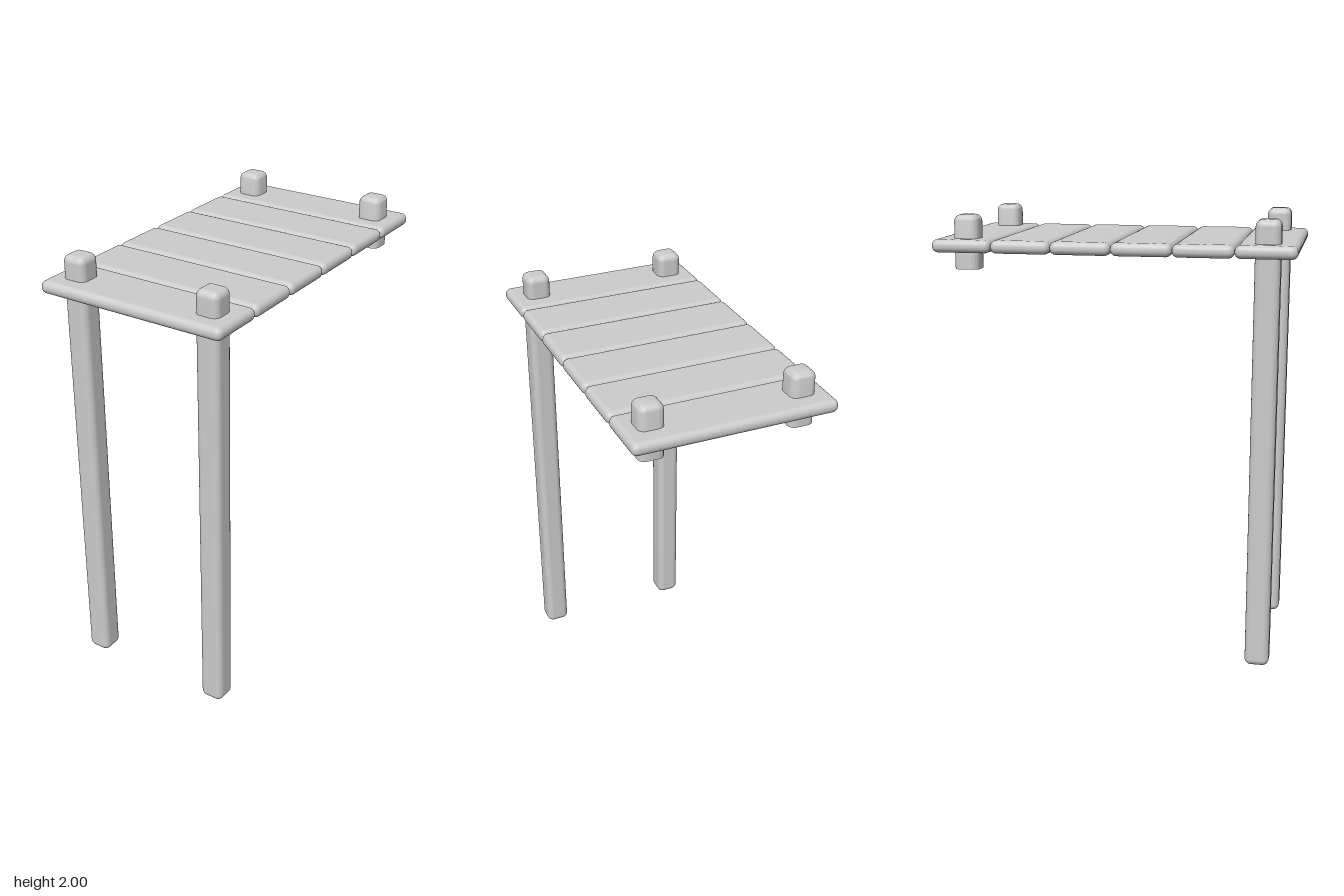
import * as THREE from 'three';
import { RoundedBoxGeometry } from 'three/addons/geometries/RoundedBoxGeometry.js';
import { toCreasedNormals } from 'three/addons/utils/BufferGeometryUtils.js';

const material = new THREE.MeshStandardMaterial({ color: 0xcccccc });

const POST = 0.109, POST_R = 0.03, TOP = 2;
const PLANKS = 6, LENGTH = 0.885, DEPTH = 1.574, THICK = 0.057;

// Square post with softened edges, running from y = bottom up to the top
function makePost(name, x, z, bottom, flatBottom) {
  const extra = flatBottom ? POST_R : 0;
  const height = TOP - bottom + extra;
  let geometry = new RoundedBoxGeometry(POST, height, POST, 4, POST_R);
  if (flatBottom) {
    // Press the rounded lower end into a sawn-off flat face
    const pos = geometry.attributes.position;
    const cut = -height / 2 + POST_R;
    for (let i = 0; i < pos.count; i++) pos.setY(i, Math.max(pos.getY(i), cut));
    geometry = toCreasedNormals(geometry, Math.PI / 4);
  }
  const mesh = new THREE.Mesh(geometry, material);
  mesh.name = name;
  mesh.position.set(x, TOP - height / 2, z);
  return mesh;
}

export function createModel() {
  const model = new THREE.Group();
  model.name = 'plankPlatform';

  // The whole platform stands turned by 30 degrees
  const platform = new THREE.Group();
  platform.name = 'platform';
  platform.rotation.y = -Math.PI / 6;
  model.add(platform);

  // Deck of parallel planks
  const pitch = DEPTH / PLANKS;
  const plankGeometry = new RoundedBoxGeometry(LENGTH, THICK, pitch, 4, 0.027);
  for (let i = 0; i < PLANKS; i++) {
    const plank = new THREE.Mesh(plankGeometry, material);
    plank.name = `plank${i + 1}`;
    plank.position.set(0, 1.87, (i + 0.5) * pitch - DEPTH / 2);
    platform.add(plank);
  }

  // Long legs at the front end, short stub posts at the back end
  for (const [side, sign] of [['Left', 1], ['Right', -1]]) {
    platform.add(makePost(`frontLeg${side}`, sign * 0.326, 0.658, 0, false));
    platform.add(makePost(`backStub${side}`, sign * 0.326, -0.65, 1.765, true));
  }
  return model;
}
